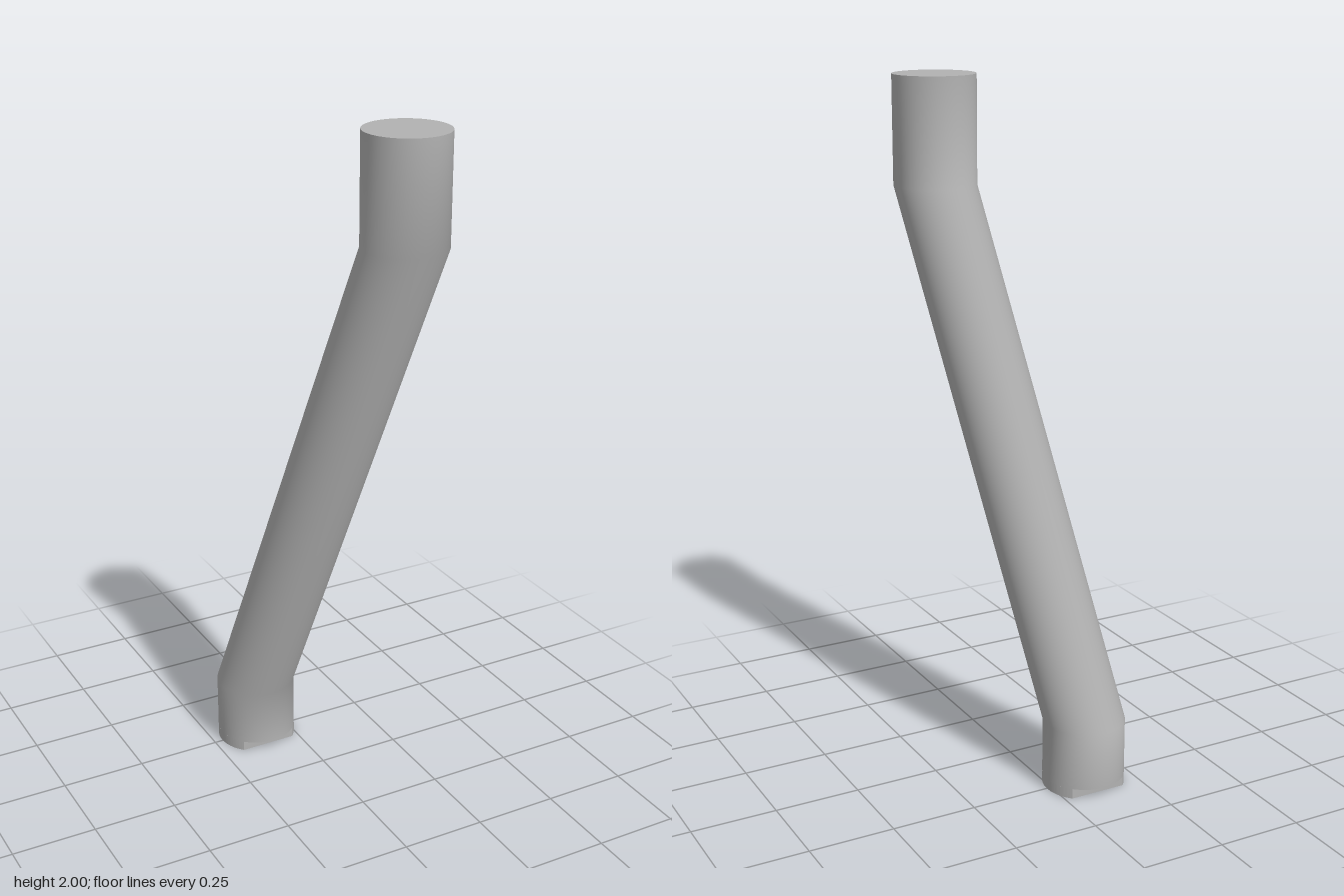
import * as THREE from 'three';
import { mergeVertices, toCreasedNormals } from 'three/addons/utils/BufferGeometryUtils.js';

const R = 0.119, SEG = 64;
// Centre line of the bent rod; every ring stays horizontal
const rings = [
  [0.105, 2, 0.253],
  [0.105, 1.69, 0.253],
  [-0.105, 0.2, -0.253],
  [-0.105, 0.03, -0.253],
];

export function createModel() {
  const group = new THREE.Group();
  group.name = 'bentRod';
  const grey = new THREE.MeshStandardMaterial({ color: 0xb2b2b2 });
  grey.name = 'plain grey';
  const add = (name, geometry, x = 0, y = 0, z = 0) => {
    const mesh = new THREE.Mesh(geometry, grey);
    mesh.name = name;
    mesh.position.set(x, y, z);
    group.add(mesh);
    return mesh;
  };

  // Rod wall: a cylinder whose rings are moved onto the centre line
  let wall = new THREE.CylinderGeometry(R, R, 3, SEG, 3, true);
  const p = wall.attributes.position;
  for (let i = 0; i < p.count; i++) {
    const [x, y, z] = rings[Math.round(1.5 - p.getY(i))];
    p.setXYZ(i, p.getX(i) + x, y, p.getZ(i) + z);
  }
  wall.deleteAttribute('uv');
  wall.deleteAttribute('normal');
  wall = mergeVertices(wall, 1e-5);
  wall.computeVertexNormals();
  add('rodWall', wall);

  // Flat ends
  add('topEnd', new THREE.CircleGeometry(R, SEG).rotateX(-Math.PI / 2), ...rings[0]);
  add('bottomShoulder', new THREE.CircleGeometry(R, SEG).rotateX(Math.PI / 2), ...rings[3]);

  // Tab under the foot: the round section with two sides cut flat
  const a = Math.asin(0.084 / R);
  const outline = new THREE.Shape();
  outline.absarc(0, 0, R, -a, a, false);
  outline.absarc(0, 0, R, Math.PI - a, Math.PI + a, false);
  outline.closePath();
  const tab = new THREE.ExtrudeGeometry(outline, { depth: 0.03, bevelEnabled: false, curveSegments: 20 });
  tab.rotateX(-Math.PI / 2);
  add('footTab', toCreasedNormals(tab, 0.5), -0.105, 0, -0.253);

  return group;
}
